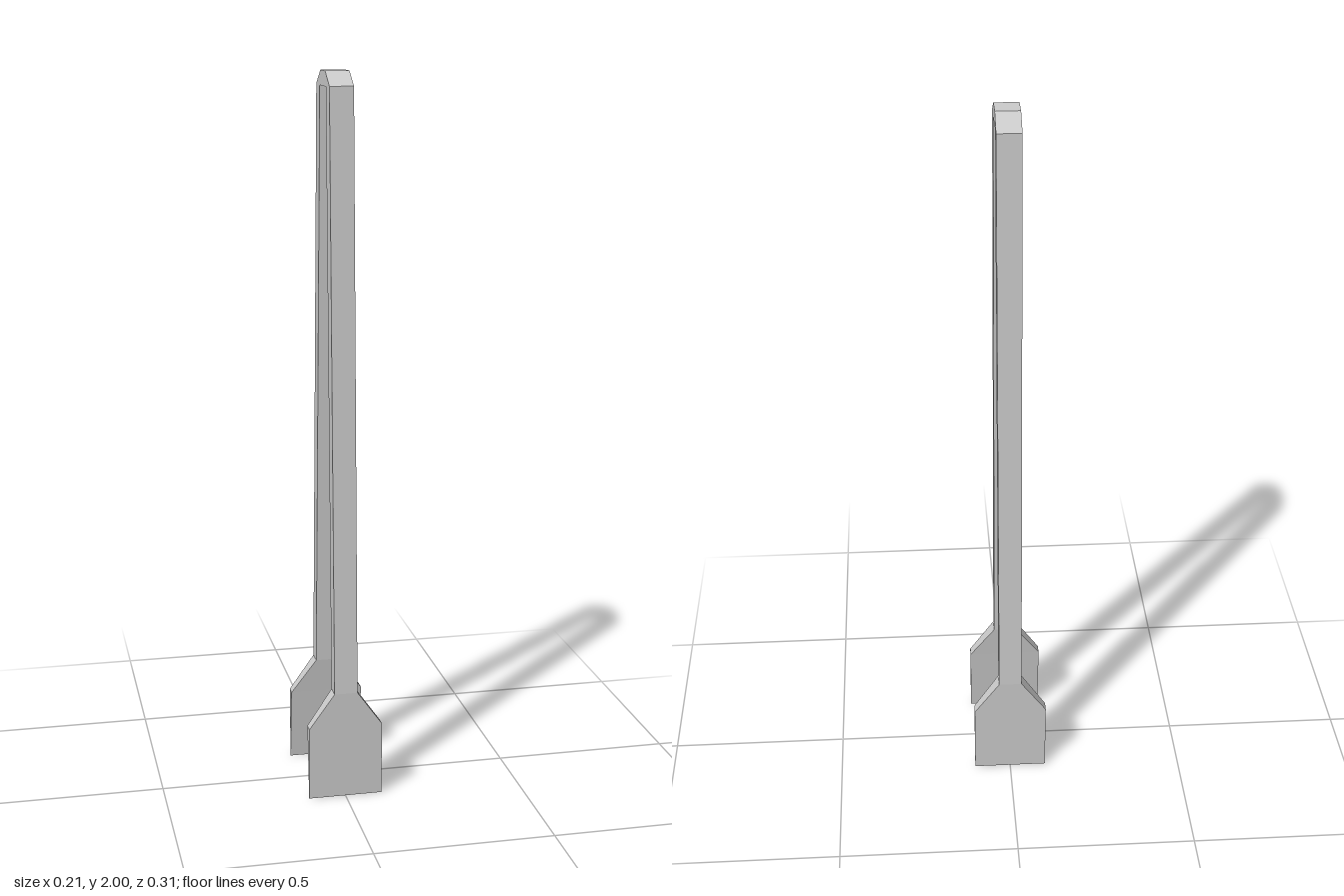
import * as THREE from 'three';

const material = new THREE.MeshStandardMaterial({ color: 0xcccccc, flatShading: true });

// Closed solid from rectangular sections [y, halfWidth, zInner, zOuter], listed top to bottom
function loftRects(sections) {
  const positions = [];
  const index = [];
  for (const [y, w, zIn, zOut] of sections) {
    positions.push(-w, y, zOut, w, y, zOut, w, y, zIn, -w, y, zIn);
  }
  for (let s = 0; s < sections.length - 1; s++) {
    for (let i = 0; i < 4; i++) {
      const a = s * 4 + i;
      const b = s * 4 + (i + 1) % 4;
      index.push(a, a + 4, b, b, a + 4, b + 4);
    }
  }
  const e = (sections.length - 1) * 4;
  index.push(0, 1, 2, 0, 2, 3, e, e + 2, e + 1, e, e + 3, e + 2);
  const indexed = new THREE.BufferGeometry();
  indexed.setAttribute('position', new THREE.Float32BufferAttribute(positions, 3));
  indexed.setIndex(index);
  const geometry = indexed.toNonIndexed();
  geometry.computeVertexNormals();
  return geometry;
}

export function createModel() {
  const group = new THREE.Group();
  group.name = 'tongs';

  // Bent strip: both arms and the bevelled bridge, drawn as one side profile
  const half = [[0.153, 0.31], [0.087, 1.963], [0.031, 2]];
  const inner = [[0.04, 1.96], [0.11, 0.31]];
  const outline = [
    ...half,
    ...half.map(([z, y]) => [-z, y]).reverse(),
    ...inner.map(([z, y]) => [-z, y]).reverse(),
    ...inner,
  ];
  const width = 0.065;
  const strip = new THREE.ExtrudeGeometry(
    new THREE.Shape(outline.map(([z, y]) => new THREE.Vector2(z, y))),
    { depth: width, bevelEnabled: false }
  );
  strip.translate(0, 0, -width / 2).rotateY(-Math.PI / 2);
  const arms = new THREE.Mesh(strip, material);
  arms.name = 'bentArms';
  group.add(arms);

  // Flared gripping paddles, thinning to an edge at the bottom
  const paddle = loftRects([
    [0.31, width / 2, 0.11, 0.153],
    [0.21, 0.104, 0.122, 0.151],
    [0, 0.104, 0.145, 0.147],
  ]);
  ['frontPaddle', 'backPaddle'].forEach((name, i) => {
    const mesh = new THREE.Mesh(paddle, material);
    mesh.name = name;
    mesh.rotation.y = i * Math.PI;
    group.add(mesh);
  });

  return group;
}
